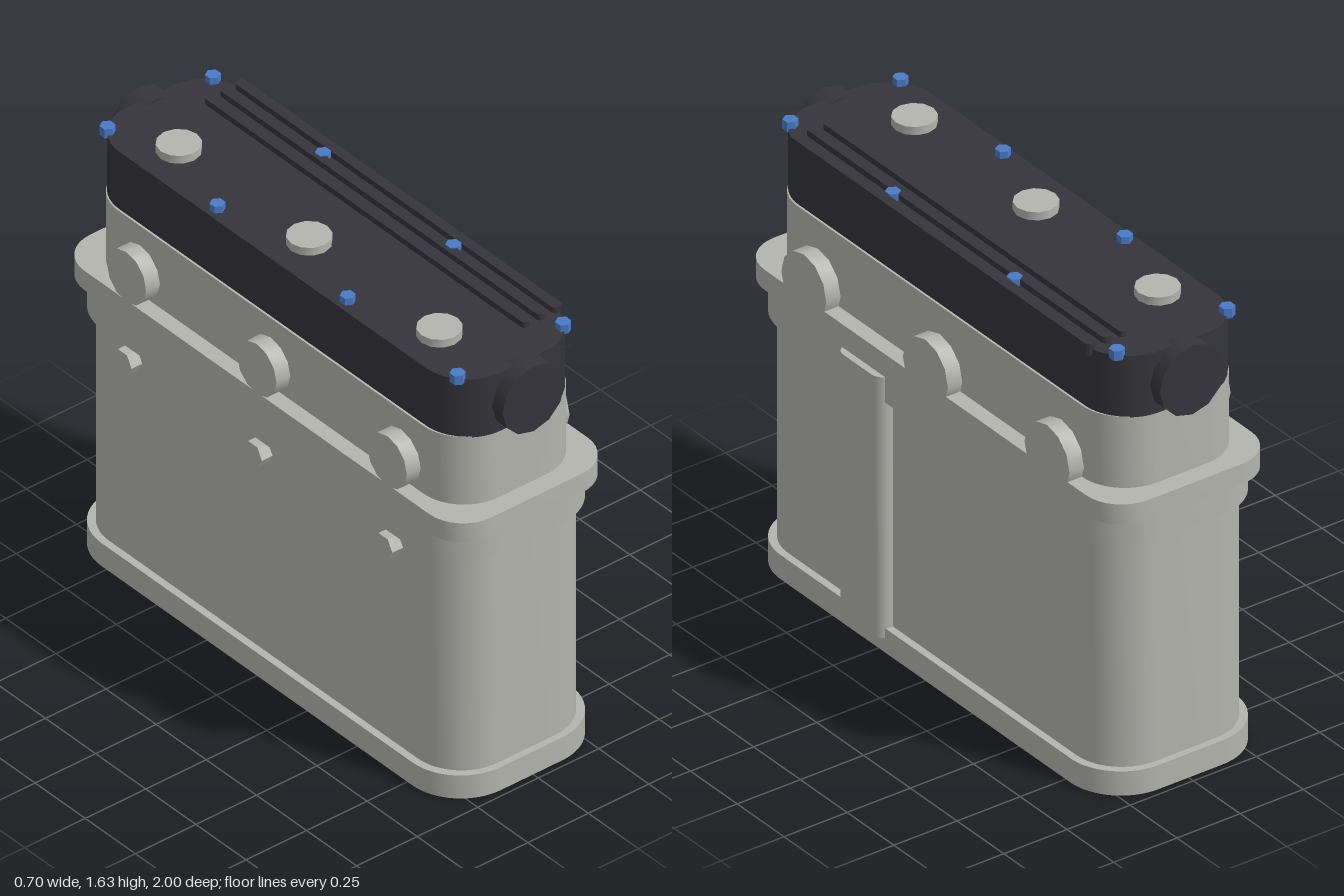
import * as THREE from 'three';
import { toCreasedNormals } from 'three/addons/utils/BufferGeometryUtils.js';

const CX = -0.007; // centre line of the castings

export function createModel() {
  const group = new THREE.Group();
  const castMetal = new THREE.MeshStandardMaterial({ color: 0xb3b4ad });
  castMetal.name = 'castMetal';
  const coverPaint = new THREE.MeshStandardMaterial({ color: 0x35343b });
  coverPaint.name = 'coverPaint';
  const boltBlue = new THREE.MeshStandardMaterial({ color: 0x4a7bc8 });
  boltBlue.name = 'boltBlue';

  const add = (name, geometry, material, x = 0, y = 0, z = 0) => {
    const mesh = new THREE.Mesh(geometry, material);
    mesh.name = name;
    mesh.position.set(x, y, z);
    group.add(mesh);
    return mesh;
  };

  // Upright slab with a rounded-rectangle plan, standing from y0 to y1
  const slab = (name, material, hw, hd, r, y0, y1, x = CX, z = 0, segments = 8) => {
    const s = new THREE.Shape();
    s.absarc(hw - r, hd - r, r, 0, Math.PI / 2);
    s.absarc(r - hw, hd - r, r, Math.PI / 2, Math.PI);
    s.absarc(r - hw, r - hd, r, Math.PI, Math.PI * 1.5);
    s.absarc(hw - r, r - hd, r, Math.PI * 1.5, Math.PI * 2);
    s.closePath();
    const g = new THREE.ExtrudeGeometry(s, { depth: y1 - y0, bevelEnabled: false, curveSegments: segments });
    g.rotateX(-Math.PI / 2);
    return add(name, toCreasedNormals(g, 0.7), material, x, y0, z);
  };

  // Round or polygonal plug lying along a chosen axis
  const plug = (name, material, axis, r, length, sides, x, y, z) => {
    const g = new THREE.CylinderGeometry(r, r, length, sides);
    if (axis === 'x') g.rotateZ(Math.PI / 2);
    if (axis === 'z') g.rotateX(Math.PI / 2);
    return add(name, toCreasedNormals(g, 0.7), material, x, y, z);
  };

  // Stacked castings
  slab('basePlate', castMetal, 0.327, 0.975, 0.2, 0, 0.09);
  slab('block', castMetal, 0.3, 0.95, 0.18, 0.09, 0.93);
  slab('lowerFlange', castMetal, 0.327, 0.975, 0.2, 0.93, 1.035);
  slab('upperFlange', castMetal, 0.327, 1.0, 0.14, 1.035, 1.11, CX, 0, 4);
  slab('cylinderHead', castMetal, 0.27, 0.93, 0.17, 1.11, 1.375);
  slab('headCover', coverPaint, 0.262, 0.935, 0.17, 1.372, 1.6);

  // Vertical duct on the +x side
  slab('sideDuct', castMetal, 0.07, 0.12, 0.045, 0.055, 1.025, 0.275, 0.33, 5);

  // Fins along the cover
  slab('coverFin', coverPaint, 0.016, 0.8, 0.015, 1.59, 1.622, 0.122);
  slab('coverFin', coverPaint, 0.016, 0.8, 0.015, 1.59, 1.622, 0.187);
  slab('edgeFin', coverPaint, 0.019, 0.8, 0.015, 1.578, 1.622, 0.251);

  // Round end covers front and back
  for (const side of [-1, 1]) {
    plug('endCover', coverPaint, 'z', 0.128, 0.085, 12, CX, 1.482, side * 0.9425);
  }

  // Features repeated at each of three stations
  for (const z of [-0.65, 0, 0.65]) {
    plug('topCap', castMetal, 'y', 0.075, 0.04, 12, -0.118, 1.61, z);
    plug('leftPort', castMetal, 'x', 0.12, 0.1, 12, 0.27, 1.15, z);
    plug('rightPort', castMetal, 'x', 0.098, 0.1, 12, -0.284, 1.202, z);
    plug('sideBolt', castMetal, 'x', 0.046, 0.05, 6, -0.326, 0.875, z);
  }

  // Cover bolts
  for (const x of [-0.228, 0.208]) {
    for (const z of [-0.873, -0.325, 0.325, 0.873]) {
      plug('coverBolt', boltBlue, 'y', 0.026, 0.035, 6, x, 1.608, z);
    }
  }
  return group;
}
